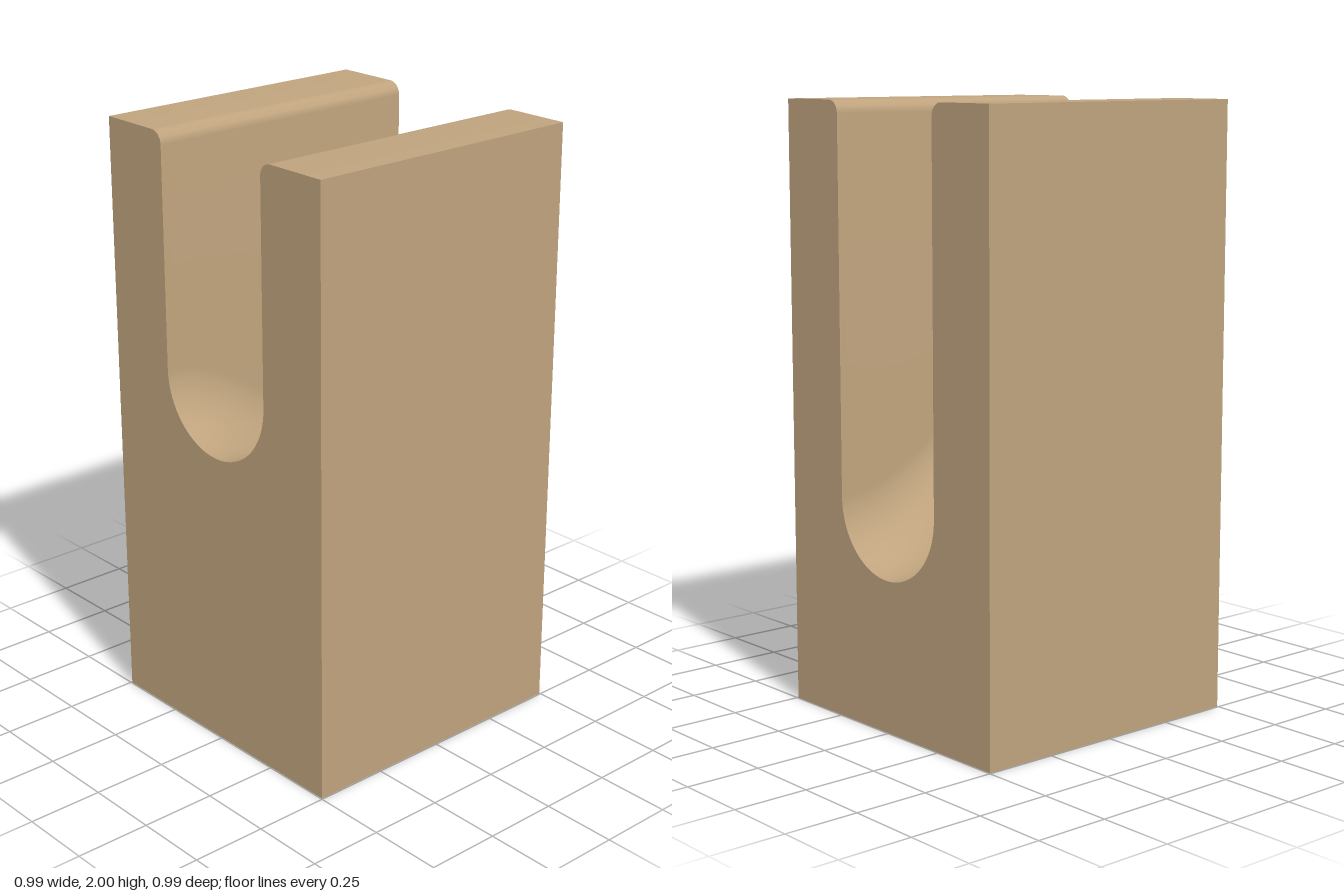
import * as THREE from 'three';
import { toCreasedNormals } from 'three/addons/utils/BufferGeometryUtils.js';

const HALF = 0.497;   // half width and half depth of the block
const HEIGHT = 2;
const SLOT = 0.235;   // half width of the slot, also the radius of its floor
const FILLET = 0.042; // rounding of the slot's upper edges
const STEPS = 32;

// Points along an arc in the (z, y) plane, angles in degrees
function arc(cz, cy, r, from, to, n) {
  return Array.from({ length: n + 1 }, (_, i) => {
    const a = THREE.MathUtils.degToRad(from + (to - from) * i / n);
    return new THREE.Vector2(cz + r * Math.cos(a), cy + r * Math.sin(a));
  });
}

// U-shaped cross-section whose slot reaches down to the given floor height
function section(floor) {
  return [
    new THREE.Vector2(-HALF, 0),
    new THREE.Vector2(HALF, 0),
    new THREE.Vector2(HALF, HEIGHT),
    ...arc(SLOT + FILLET, HEIGHT - FILLET, FILLET, 90, 180, 8),
    ...arc(0, floor + SLOT, SLOT, 0, -180, 32),
    ...arc(-SLOT - FILLET, HEIGHT - FILLET, FILLET, 0, 90, 8),
    new THREE.Vector2(-HALF, HEIGHT),
  ];
}

// The slot floor falls in a smooth S from 1.0 at -x to 0.5 at +x
function floorAt(t) {
  return 1 - 0.5 * t * t * (3 - 2 * t);
}

function blockGeometry() {
  const pos = [];
  const rings = [];
  for (let s = 0; s <= STEPS; s++) {
    const t = s / STEPS;
    const x = -HALF + 2 * HALF * t;
    rings.push(section(floorAt(t)).map((p) => new THREE.Vector3(x, p.y, p.x)));
  }
  const tri = (...corners) => corners.forEach((v) => pos.push(v.x, v.y, v.z));

  // Outer sides, top, slot walls and floor
  for (let s = 0; s < STEPS; s++) {
    const a = rings[s], b = rings[s + 1];
    for (let i = 0; i < a.length; i++) {
      const j = (i + 1) % a.length;
      tri(a[i], b[i], b[j]);
      tri(a[i], b[j], a[j]);
    }
  }

  // End faces
  const start = rings[0], end = rings[STEPS];
  for (const [a, b, c] of THREE.ShapeUtils.triangulateShape(section(floorAt(0)), [])) {
    tri(start[a], start[b], start[c]);
  }
  for (const [a, b, c] of THREE.ShapeUtils.triangulateShape(section(floorAt(1)), [])) {
    tri(end[a], end[c], end[b]);
  }

  const geometry = new THREE.BufferGeometry();
  geometry.setAttribute('position', new THREE.Float32BufferAttribute(pos, 3));
  return toCreasedNormals(geometry, 0.6);
}

export function createModel() {
  const tan = new THREE.MeshStandardMaterial({ color: 0xbfa37d });
  tan.name = 'tan';

  const block = new THREE.Mesh(blockGeometry(), tan);
  block.name = 'slottedBlock';

  const model = new THREE.Group();
  model.name = 'model';
  model.add(block);
  return model;
}
